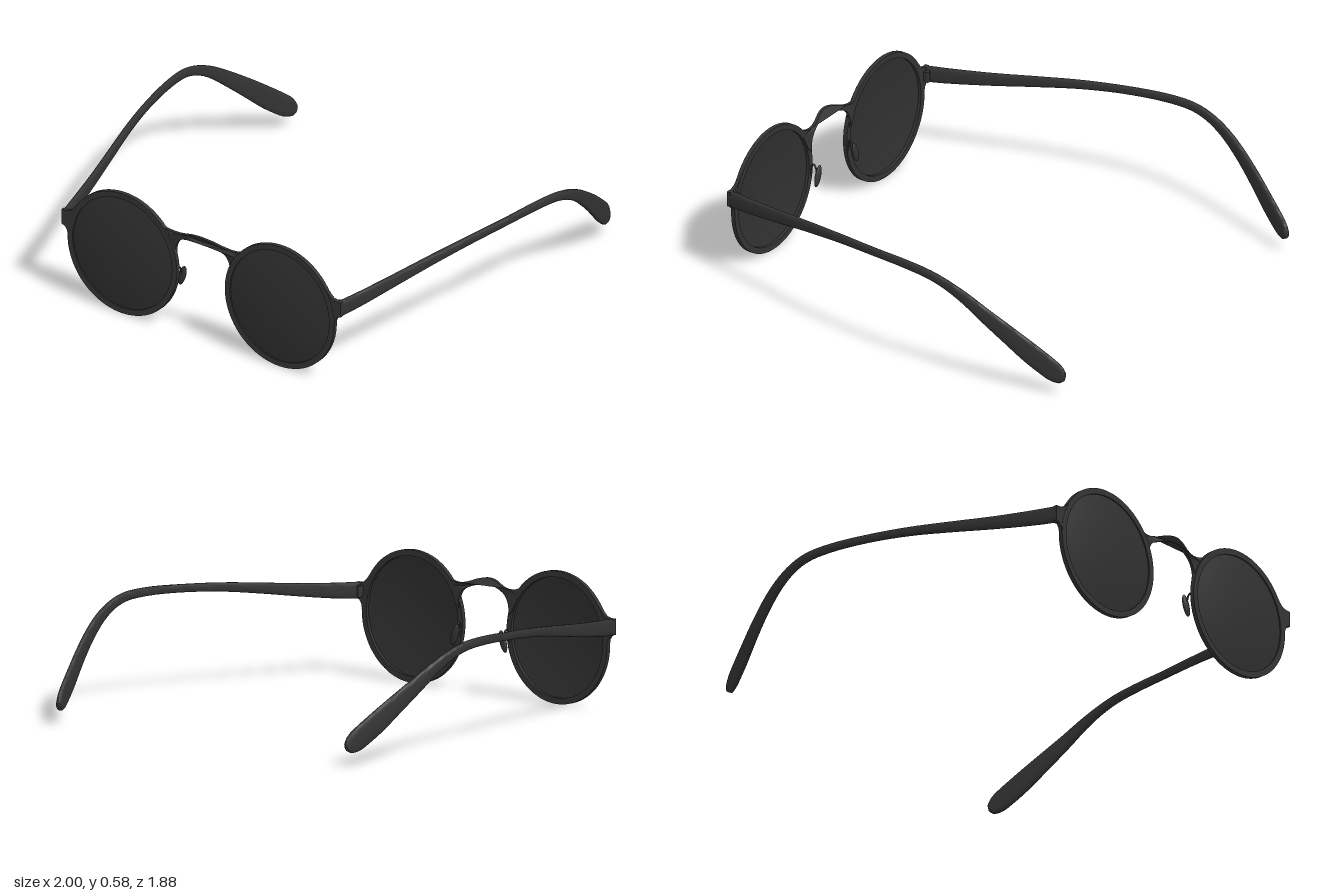
import * as THREE from 'three';
import { toCreasedNormals } from 'three/addons/utils/BufferGeometryUtils.js';

const LENS_X = 0.42, LENS_Y = 0.292, RIM_R = 0.292, RIM_Z = 0.907;

const v2 = (pts) => pts.map(([x, y]) => new THREE.Vector2(x, y));

// Flat plate of the given depth, centred on z = 0
function plate(shape, depth, curveSegments = 12) {
  const geo = new THREE.ExtrudeGeometry(shape, { depth, bevelEnabled: false, curveSegments });
  return geo.translate(0, 0, -depth / 2);
}

// Round rim with a hole for the lens
function rimGeometry() {
  const shape = new THREE.Shape().absarc(0, 0, RIM_R, 0, Math.PI * 2);
  shape.holes.push(new THREE.Path().absarc(0, 0, 0.265, 0, Math.PI * 2, true));
  return toCreasedNormals(plate(shape, 0.02, 48), 0.6);
}

// Shallow domed lens, bulging to the front
function lensGeometry() {
  const profile = [];
  for (let i = 0; i <= 10; i++) {
    const r = 0.27 * (1 - i / 10);
    profile.push(new THREE.Vector2(r, 0.025 * (1 - (r / 0.27) ** 2)));
  }
  return new THREE.LatheGeometry(profile, 64).rotateX(Math.PI / 2);
}

// Bridge outline flaring into both rims, bowed forward in the middle
function bridgeGeometry() {
  const mirrored = (half) => [...half.slice(1).reverse().map(([x, y]) => [-x, y]), ...half];
  const top = mirrored([[0, 0.505], [0.05, 0.498], [0.1, 0.481], [0.15, 0.473], [0.2, 0.484], [0.24, 0.52]]);
  const bottom = mirrored([[0, 0.474], [0.045, 0.47], [0.085, 0.461], [0.118, 0.446], [0.137, 0.42], [0.145, 0.39], [0.143, 0.36]]);
  const upper = new THREE.SplineCurve(v2(top)).getPoints(60);
  const lower = new THREE.SplineCurve(v2(bottom)).getPoints(60).reverse();
  const shape = new THREE.Shape([...upper, ...v2([[0.2, 0.45], [0.165, 0.38]]), ...lower, ...v2([[-0.165, 0.38], [-0.2, 0.45]])]);
  const geo = plate(shape, 0.014);
  const pos = geo.attributes.position;
  for (let i = 0; i < pos.count; i++) {
    const x = Math.abs(pos.getX(i));
    let z = 0.911 + 0.014 * Math.cos(Math.PI * x / 0.15);
    if (x > 0.15) z = Math.min(z, RIM_Z);
    pos.setZ(i, pos.getZ(i) + z);
  }
  return toCreasedNormals(geo, 0.6);
}

// Temple arm swept through rows of [x, y, z, half height]
function templeGeometry() {
  const rows = [
    [0.733, 0.372, 0.9, 0.037], [0.757, 0.38, 0.8, 0.035], [0.803, 0.403, 0.6, 0.029],
    [0.852, 0.43, 0.4, 0.024], [0.902, 0.454, 0.2, 0.02], [0.945, 0.469, 0, 0.018],
    [0.975, 0.476, -0.2, 0.019], [0.986, 0.468, -0.33, 0.02], [0.984, 0.443, -0.42, 0.022],
    [0.973, 0.398, -0.51, 0.027], [0.954, 0.335, -0.6, 0.034], [0.922, 0.258, -0.7, 0.042],
    [0.885, 0.176, -0.8, 0.049], [0.855, 0.114, -0.88, 0.048], [0.845, 0.093, -0.906, 0.041],
    [0.837, 0.076, -0.927, 0.025], [0.834, 0.07, -0.935, 0.004],
  ];
  const path = new THREE.CatmullRomCurve3(rows.map(([x, y, z]) => new THREE.Vector3(x, y, z)));
  const size = new THREE.SplineCurve(rows.map((r, i) => new THREE.Vector2(i, r[3])));
  const steps = 80, sides = 20, pos = [], index = [];
  for (let i = 0; i <= steps; i++) {
    const t = i / steps, p = path.getPoint(t), tangent = path.getTangent(t);
    const side = new THREE.Vector3(0, 1, 0).cross(tangent).normalize();
    const up = tangent.clone().cross(side);
    const h = size.getPoint(t).y, w = Math.min(0.0125, h);
    for (let j = 0; j < sides; j++) {
      const a = j / sides * Math.PI * 2, c = Math.cos(a), s = Math.sin(a);
      const q = p.clone()
        .addScaledVector(side, w * Math.sign(c) * Math.abs(c) ** 0.6)
        .addScaledVector(up, h * Math.sign(s) * Math.abs(s) ** 0.6);
      pos.push(q.x, q.y, q.z);
      if (i < steps) {
        const k = (j + 1) % sides, a0 = i * sides + j, a1 = i * sides + k;
        index.push(a0, a1, a1 + sides, a0, a1 + sides, a0 + sides);
      }
    }
  }
  // End caps
  const last = steps * sides;
  for (let j = 1; j < sides - 1; j++) index.push(0, j + 1, j, last, last + j, last + j + 1);
  const geo = new THREE.BufferGeometry();
  geo.setAttribute('position', new THREE.Float32BufferAttribute(pos, 3));
  geo.setIndex(index);
  return toCreasedNormals(geo, 0.8);
}

// Corner plate joining the rim to the temple
function endPieceGeometry() {
  const shape = new THREE.Shape(v2([
    [0.645, 0.44], [0.68, 0.36], [0.688, 0.3], [0.71, 0.285], [0.716, 0.315], [0.728, 0.332],
    [0.746, 0.338], [0.746, 0.408], [0.722, 0.408], [0.7, 0.414], [0.682, 0.43], [0.665, 0.452],
  ]));
  return plate(shape, 0.018);
}

export function createModel() {
  const frame = new THREE.MeshStandardMaterial({ color: 0x333333 });
  frame.name = 'dark frame';
  const glass = new THREE.MeshStandardMaterial({ color: 0x303030, side: THREE.DoubleSide });
  glass.name = 'dark lens';

  const model = new THREE.Group();
  model.name = 'roundSunglasses';
  const add = (parent, name, geo, mat, x = 0, y = 0, z = 0) => {
    const mesh = new THREE.Mesh(geo, mat);
    mesh.name = name;
    mesh.position.set(x, y, z);
    parent.add(mesh);
    return mesh;
  };

  add(model, 'bridge', bridgeGeometry(), frame);

  const rim = rimGeometry(), lens = lensGeometry(), temple = templeGeometry(), endPiece = endPieceGeometry();
  const hinge = new THREE.CylinderGeometry(0.011, 0.011, 0.05, 16);
  const hingeLug = new THREE.BoxGeometry(0.016, 0.045, 0.025);
  const pad = new THREE.SphereGeometry(1, 24, 16).scale(0.018, 0.05, 0.011);
  const padWire = new THREE.TubeGeometry(new THREE.CatmullRomCurve3([
    [0.142, 0.235, 0.9], [0.14, 0.275, 0.896], [0.138, 0.298, 0.886], [0.138, 0.285, 0.874], [0.14, 0.25, 0.866],
  ].map((p) => new THREE.Vector3(...p))), 24, 0.004, 8);

  // Both halves, mirrored across x = 0
  for (const [side, sign] of [['left', 1], ['right', -1]]) {
    const half = new THREE.Group();
    half.name = side + 'Half';
    half.scale.x = sign;
    model.add(half);
    add(half, side + 'Rim', rim, frame, LENS_X, LENS_Y, RIM_Z);
    add(half, side + 'Lens', lens, glass, LENS_X, LENS_Y, RIM_Z + 0.003);
    add(half, side + 'EndPiece', endPiece, frame, 0, 0, RIM_Z);
    add(half, side + 'Hinge', hinge, frame, 0.712, 0.372, 0.882);
    add(half, side + 'HingeLug', hingeLug, frame, 0.712, 0.372, 0.893);
    add(half, side + 'Temple', temple, frame);
    add(half, side + 'NosePadWire', padWire, frame);
    add(half, side + 'NosePad', pad, frame, 0.14, 0.248, 0.861).rotation.z = 0.3;
  }
  return model;
}
